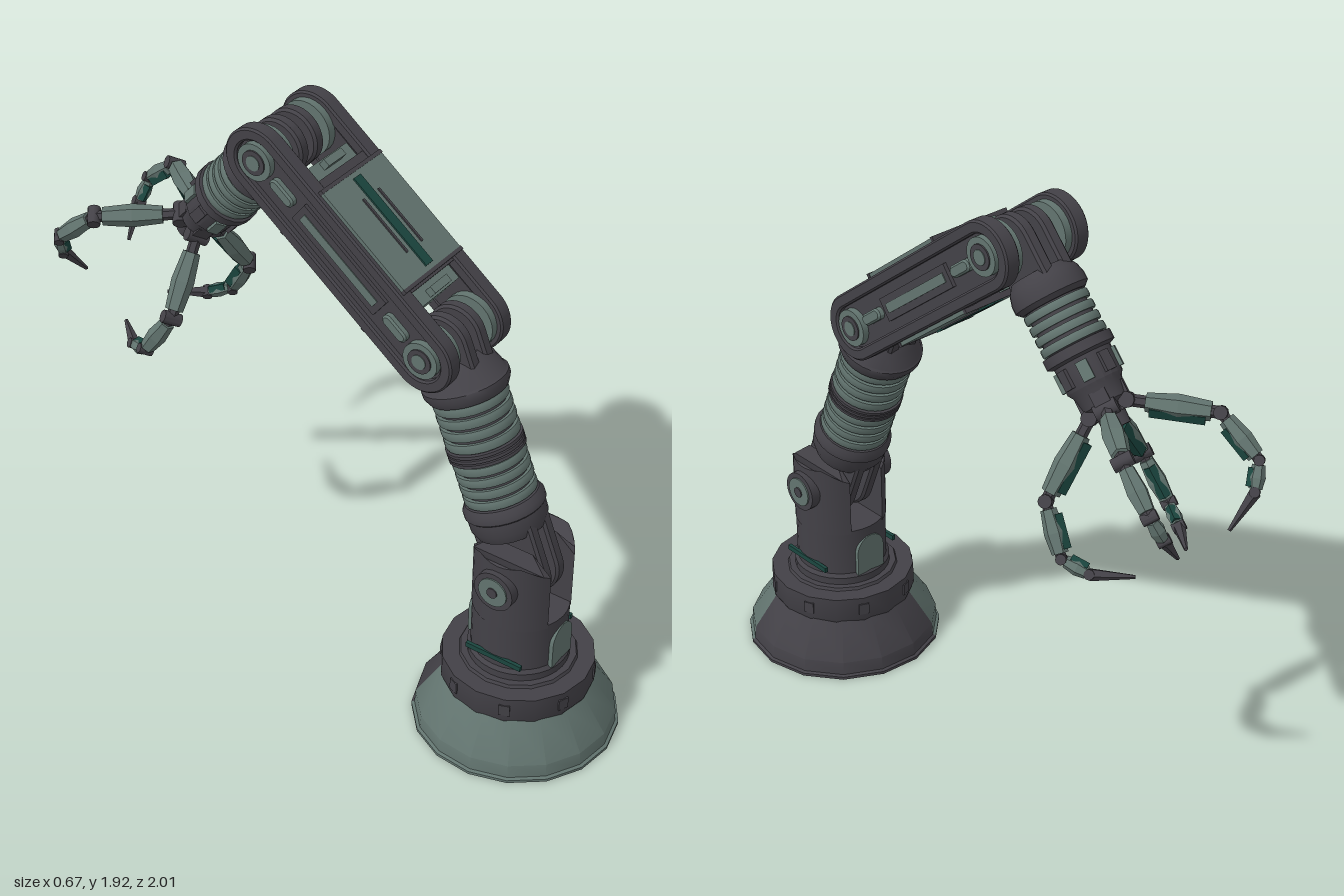
import * as THREE from 'three';
import { toCreasedNormals } from 'three/addons/utils/BufferGeometryUtils.js';

const paint = (color) => new THREE.MeshStandardMaterial({ color, side: THREE.DoubleSide });
const DARK = paint(0x434147), GREY = paint(0x62746f), GREEN = paint(0x1b463f);

function add(parent, name, geo, mat, x = 0, y = 0, z = 0) {
  const mesh = new THREE.Mesh(toCreasedNormals(geo, 0.6), mat);
  mesh.name = name;
  mesh.position.set(x, y, z);
  parent.add(mesh);
  return mesh;
}

// Group whose +y runs along a limb in the y-z plane
function limb(parent, name, y, z, dirY, dirZ) {
  const g = new THREE.Group();
  g.name = name;
  g.position.set(0, y, z);
  g.rotation.x = Math.atan2(dirZ, dirY);
  parent.add(g);
  return g;
}

const box = (w, h, d) => new THREE.BoxGeometry(w, h, d);
const disc = (r, len, sides = 28) => new THREE.CylinderGeometry(r, r, len, sides).rotateZ(Math.PI / 2);
const lathe = (pts, sides = 28, start = 0, sweep = Math.PI * 2) =>
  new THREE.LatheGeometry(pts.map(([r, y]) => new THREE.Vector2(r, y)), sides, start, sweep);

// Round-ended outline from y0 to y1
function stadium(r, y0, y1, Kind = THREE.Shape) {
  const s = new Kind();
  s.absarc(0, y1, r, 0, Math.PI, false);
  s.absarc(0, y0, r, Math.PI, Math.PI * 2, false);
  s.closePath();
  return s;
}

// Outline extruded across x, centred on x = 0
function slab(shape, t, b = 0.006) {
  return new THREE.ExtrudeGeometry(shape, {
    depth: t - 2 * b, bevelThickness: b, bevelSize: b, bevelOffset: -b, bevelSegments: 1, curveSegments: 16,
  }).translate(0, 0, b - t / 2).rotateY(Math.PI / 2);
}

// Ribbed sleeve between two heights
function bellows(parent, r, y0, y1, count) {
  add(parent, 'bellowsCore', lathe([[r - 0.013, y0], [r - 0.013, y1]]), DARK);
  const step = (y1 - y0) / count;
  for (let i = 0; i < count; i++) {
    const h = step * 0.36, y = y0 + step * (i + 0.5);
    add(parent, 'bellowsRib', lathe([[r - 0.015, y - h], [r - 0.002, y - h], [r, y - h * 0.6],
      [r, y + h * 0.6], [r - 0.002, y + h], [r - 0.015, y + h]]), GREY);
  }
}

function tongues(parent, r, y0, y1) {
  for (const s of [-1, 1]) add(parent, 'hingeTongue', slab(stadium(r, y0, y1), 0.043, 0.008), DARK, s * 0.036);
}

function buildBase(root) {
  const g = new THREE.Group();
  g.name = 'base';
  g.position.z = 0.663;
  root.add(g);

  // Flared skirt in two coloured sectors, hollow below
  const skirt = [[0.335, 0], [0.335, 0.01], [0.325, 0.014], [0.322, 0.06], [0.24, 0.18]];
  const a = THREE.MathUtils.degToRad(67.5), b = THREE.MathUtils.degToRad(212);
  add(g, 'skirtDark', lathe(skirt, 6, a, b - a), DARK);
  add(g, 'skirtGrey', lathe(skirt, 10, b, a + Math.PI * 2 - b), GREY);
  add(g, 'collar', lathe([[0.24, 0.17], [0.247, 0.185], [0.245, 0.265], [0.19, 0.265], [0.185, 0.275], [0.14, 0.275]], 16), DARK);
  for (let i = 0; i < 8; i++) {
    const t = (i + 0.5) * Math.PI / 4;
    add(g, 'collarBolt', box(0.035, 0.04, 0.02), DARK, Math.sin(t) * 0.238, 0.222, Math.cos(t) * 0.238).rotation.y = t;
  }

  // Turret with a fork on top
  add(g, 'turret', lathe([[0.163, 0.26], [0.163, 0.3], [0.153, 0.312], [0.153, 0.48], [0, 0.48]], 32), DARK);
  const R = 0.155, inner = 0.068, phi = Math.acos(inner / R), pts = [];
  for (let i = 0; i <= 14; i++) {
    const t = -phi + 2 * phi * i / 14;
    pts.push(new THREE.Vector2(R * Math.cos(t), R * Math.sin(t)));
  }
  pts.push(new THREE.Vector2(inner, 0.07), new THREE.Vector2(inner, -0.07));
  for (const s of [-1, 1]) {
    const arm = new THREE.ExtrudeGeometry(new THREE.Shape(pts), { depth: 0.26, bevelEnabled: false }).rotateX(-Math.PI / 2);
    const p = arm.attributes.position;
    for (let i = 0; i < p.count; i++) // sloped shoulders
      if (p.getY(i) > 0.2) p.setY(i, 0.26 - Math.max(0, Math.abs(p.getZ(i)) - 0.07) * 0.85 - Math.max(0, p.getX(i) - 0.12) * 0.6);
    add(g, 'forkArm', arm.rotateY(s < 0 ? Math.PI : 0), DARK, 0, 0.47);
    add(g, 'pivotBoss', disc(0.068, 0.05), DARK, s * 0.148, 0.62);
    add(g, 'pivotCap', disc(0.05, 0.012), GREY, s * 0.172, 0.62);
    add(g, 'pivotPin', disc(0.018, 0.02), DARK, s * 0.172, 0.62);
    add(g, 'sideSlit', box(0.012, 0.018, 0.2), GREEN, s * 0.15, 0.342);

    // Arched hatch
    const hatch = new THREE.Shape().moveTo(-0.056, 0).lineTo(0.056, 0).lineTo(0.056, 0.085)
      .absarc(0, 0.085, 0.056, 0, Math.PI, false).closePath();
    const panel = new THREE.ExtrudeGeometry(hatch, { depth: 0.02, bevelEnabled: false });
    add(g, 'hatch', panel, GREY, 0, 0.305, s > 0 ? 0.136 : -0.156);
  }
  add(g, 'pivotAxle', disc(0.045, 0.28), DARK, 0, 0.62);
}

function buildLowerArm(root) {
  const g = limb(root, 'lowerArm', 0.62, 0.663, 0.73, -0.29);
  tongues(g, 0.115, 0, 0.15);
  add(g, 'lowerCup', lathe([[0, 0.13], [0.11, 0.13], [0.124, 0.16], [0.125, 0.2], [0.13, 0.205], [0.13, 0.225], [0.118, 0.245], [0.1, 0.245]]), DARK);
  bellows(g, 0.117, 0.245, 0.4, 4);
  for (const y of [0.405, 0.42, 0.435]) add(g, 'middleRing', lathe([[0.1, y - 0.005], [0.122, y - 0.005], [0.122, y + 0.005], [0.1, y + 0.005]]), DARK);
  bellows(g, 0.119, 0.44, 0.605, 4);
  add(g, 'upperCup', lathe([[0.1, 0.6], [0.125, 0.602], [0.137, 0.625], [0.137, 0.645], [0.13, 0.65], [0.108, 0.7], [0.07, 0.73], [0, 0.73]]), DARK);
  tongues(g, 0.092, 0.68, 0.785);
}

function buildUpperArm(root) {
  const L = 0.752, g = limb(root, 'upperArm', 1.35, 0.372, 0.461, -0.594);
  const rim = stadium(0.108, 0, L);
  rim.holes.push(stadium(0.068, 0, L, THREE.Path));
  for (const s of [-1, 1]) {
    add(g, 'sidePlateRim', slab(rim, 0.054), DARK, s * 0.137);
    add(g, 'sidePlateWeb', slab(stadium(0.075, 0, L), 0.03), DARK, s * 0.128);
    add(g, 'sideRail', box(0.03, 0.37, 0.075), DARK, s * 0.14, L / 2);
    add(g, 'railStrip', box(0.012, 0.33, 0.03), GREY, s * 0.152, L / 2);
    for (const [y, d] of [[0, 1], [L, -1]]) {
      add(g, 'jointCap', disc(0.06, 0.04), GREY, s * 0.145, y);
      add(g, 'jointRing', disc(0.04, 0.045), DARK, s * 0.147, y);
      add(g, 'jointPin', disc(0.024, 0.05), GREY, s * 0.147, y);
      add(g, 'innerBoss', disc(0.09, 0.03), GREY, s * 0.1, y);
      add(g, 'latch', slab(stadium(0.019, -0.03, 0.03), 0.03), GREY, s * 0.15, y + d * 0.12);
    }
    // Covers on the two broad faces
    add(g, 'cover', box(0.292, 0.38, 0.025), GREY, 0, 0.366, s * 0.108);
    add(g, 'coverStrip', box(0.034, 0.33, 0.008), GREEN, 0, 0.366, s * 0.122);
    for (const x of [-0.038, 0.038]) add(g, 'coverRib', box(0.008, 0.2, 0.006), DARK, x, 0.366, s * 0.122);
    for (const y of [0.18, 0.552]) add(g, 'coverTrim', box(0.296, 0.012, 0.03), DARK, 0, y, s * 0.108);
    for (const y of [0.135, L - 0.135]) add(g, 'stopBar', box(0.085, 0.025, 0.03), GREY, 0, y, s * 0.092);
  }
  add(g, 'armCore', box(0.22, 0.42, 0.2), DARK, 0, L / 2);
  add(g, 'armCoreLining', box(0.2, 0.52, 0.16), GREY, 0, L / 2);
  for (const y of [0, L]) add(g, 'jointAxle', disc(0.045, 0.25), DARK, 0, y);
}

// Faceted tapered bar between two points of a finger's own plane
function bar(parent, name, a, b, r0, r1, mat, from = 0, to = 1, sides = 6) {
  const A = new THREE.Vector3(0, a[1], a[0]), B = new THREE.Vector3(0, b[1], b[0]);
  const p = A.clone().lerp(B, from), q = A.clone().lerp(B, to), d = q.clone().sub(p);
  const mesh = add(parent, name, new THREE.CylinderGeometry(r1, r0, d.length(), sides), mat);
  mesh.position.copy(p).add(q).multiplyScalar(0.5);
  mesh.quaternion.setFromUnitVectors(new THREE.Vector3(0, 1, 0), d.normalize());
  return mesh;
}

function buildFinger(hand, angle) {
  const f = new THREE.Group();
  f.name = 'finger';
  f.rotation.y = angle;
  hand.add(f);
  // Joints as [distance from hand axis, distance along it]
  const j = [[0.06, 0.545], [0.282, 0.7], [0.318, 0.87], [0.265, 0.945], [0.15, 1.01]];
  const size = [0.037, 0.032, 0.025];
  for (let i = 0; i < 3; i++) {
    const r = size[i];
    bar(f, 'fingerBone', j[i], j[i + 1], r * 0.5, r * 0.5, DARK);
    bar(f, 'fingerShell', j[i], j[i + 1], r * 0.75, r, GREY, i ? 0.14 : 0.2, 0.55);
    bar(f, 'fingerShell', j[i], j[i + 1], r, r * 0.78, GREY, 0.55, 0.9);
    const pad = bar(f, 'fingerPad', j[i], j[i + 1], r * 0.6, r * 0.6, GREEN, 0.25, 0.85, 4);
    pad.translateZ(-r * 0.55);
    add(f, 'knuckle', disc(r * 0.65, r * 1.9, 12), DARK, 0, j[i][1], j[i][0]);
  }
  add(f, 'knuckle', disc(0.016, 0.04, 12), DARK, 0, j[3][1], j[3][0]);
  bar(f, 'claw', j[3], j[4], 0.02, 0.006, DARK, 0, 1, 5);
  add(f, 'fingerMount', box(0.05, 0.08, 0.04), DARK, 0, 0.525, 0.055);
}

function buildForearm(root) {
  const g = limb(root, 'forearm', 1.811, -0.222, -0.744, -0.668);
  tongues(g, 0.092, 0, 0.12);
  add(g, 'wristCup', lathe([[0, 0.1], [0.09, 0.105], [0.108, 0.13], [0.116, 0.16], [0.116, 0.185], [0.1, 0.2], [0.08, 0.2]]), DARK);
  bellows(g, 0.102, 0.2, 0.34, 4);
  add(g, 'head', lathe([[0.08, 0.335], [0.108, 0.34], [0.108, 0.37], [0.09, 0.378], [0.088, 0.46], [0.078, 0.475], [0.07, 0.525],
    [0.045, 0.54], [0.042, 0.605], [0.028, 0.605], [0.028, 0.56], [0, 0.56]], 20), DARK);
  for (let i = 0; i < 8; i++) {
    const t = i * Math.PI / 4;
    add(g, 'headBlock', box(0.035, 0.06, 0.02), i % 2 ? GREY : DARK, Math.sin(t) * 0.088, 0.42, Math.cos(t) * 0.088).rotation.y = t;
  }
  for (let i = 0; i < 4; i++) buildFinger(g, Math.PI / 4 + i * Math.PI / 2);
}

export function createModel() {
  const root = new THREE.Group();
  root.name = 'roboticArm';
  buildBase(root);
  buildLowerArm(root);
  buildUpperArm(root);
  buildForearm(root);
  return root;
}
